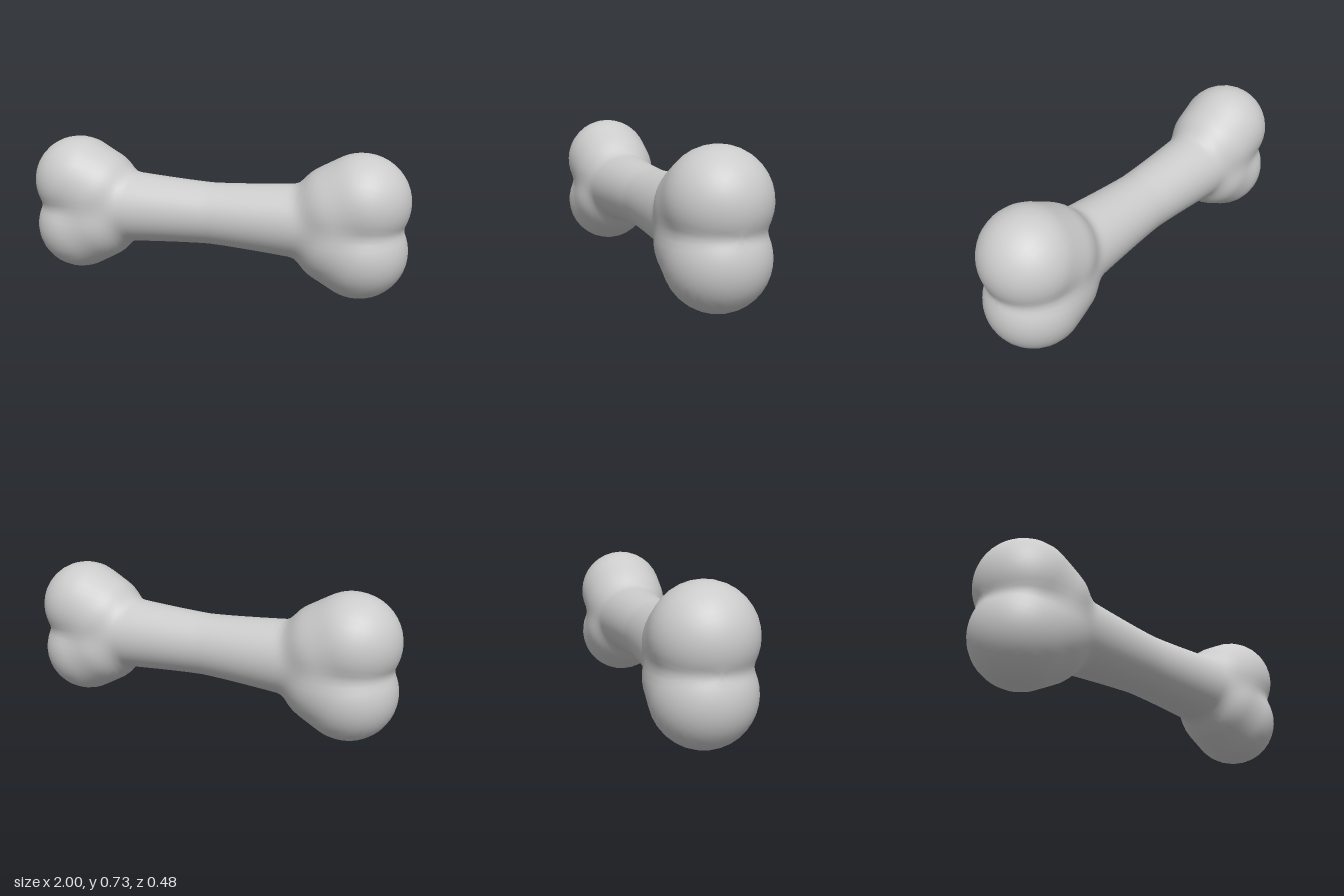
import * as THREE from 'three';

const MID = 0.365; // height of the bone's long axis
const HUB = 0.74; // where the end caps begin on that axis

// Rounded union of two distances
function blend(a, b, k) {
  const h = Math.max(k - Math.abs(a - b), 0) / k;
  return Math.min(a, b) - h * h * k * 0.25;
}

// Knuckle: a capsule leaning from the shaft towards the end
function knuckle(x, y, z) {
  const ax = 0.66, ay = 0.075, dx = 0.1, dy = 0.05;
  const t = THREE.MathUtils.clamp(((x - ax) * dx + (y - ay) * dy) / (dx * dx + dy * dy), 0, 1);
  return Math.hypot(x - ax - dx * t, y - ay - dy * t, z) - (0.235 + 0.005 * t);
}

// Distance to the whole bone, mirrored in x and y
function bone(x, y, z) {
  x = Math.abs(x);
  const knuckles = blend(knuckle(x, y, z), knuckle(x, -y, z), 0.03);
  const radius = 0.161 + 0.025 * Math.pow(Math.min(x, 0.6) / 0.42, 1.3);
  const shaft = Math.max(Math.hypot(y, z) - radius, x - 0.7);
  return blend(knuckles, shaft, 0.03);
}

// Bisect along a ray from the axis to the surface
function reach(ox, dx, dy, dz) {
  let lo = 0, hi = 0.6;
  for (let i = 0; i < 26; i++) {
    const m = (lo + hi) / 2;
    if (bone(ox + dx * m, dy * m, dz * m) < 0) lo = m;
    else hi = m;
  }
  return lo;
}

export function createModel() {
  const group = new THREE.Group();
  const AROUND = 48, CAP = 16, LENGTH = 56;

  // Rings from the left cap, along the shaft, to the right cap: axis position and tilt
  const rings = [];
  for (let i = 1; i < CAP; i++) rings.push([-HUB, -Math.PI / 2 * (1 - i / CAP)]);
  for (let i = 0; i <= LENGTH; i++) rings.push([-HUB + 2 * HUB * i / LENGTH, 0]);
  for (let i = 1; i < CAP; i++) rings.push([HUB, Math.PI / 2 * i / CAP]);

  const positions = [], index = [];
  const addPoint = (ox, tilt, angle) => {
    const dx = Math.sin(tilt), c = Math.cos(tilt);
    const dy = c * Math.cos(angle), dz = c * Math.sin(angle);
    const r = reach(ox, dx, dy, dz);
    positions.push(ox + dx * r, MID + dy * r, dz * r);
  };
  for (const [ox, tilt] of rings) {
    for (let j = 0; j < AROUND; j++) addPoint(ox, tilt, j / AROUND * Math.PI * 2);
  }
  const startPole = rings.length * AROUND, endPole = startPole + 1;
  addPoint(-HUB, -Math.PI / 2, 0);
  addPoint(HUB, Math.PI / 2, 0);

  // Join neighbouring rings and close both ends
  const last = (rings.length - 1) * AROUND;
  for (let j = 0; j < AROUND; j++) {
    const k = (j + 1) % AROUND;
    for (let i = 0; i < rings.length - 1; i++) {
      const a = i * AROUND + j, b = i * AROUND + k;
      index.push(a, b, a + AROUND, b, b + AROUND, a + AROUND);
    }
    index.push(startPole, k, j, endPole, last + j, last + k);
  }

  const geometry = new THREE.BufferGeometry();
  geometry.setAttribute('position', new THREE.Float32BufferAttribute(positions, 3));
  // Winding: turn every face outwards
  for (let i = 0; i < index.length; i += 3) {
    const [a, b, c] = [0, 1, 2].map((n) => new THREE.Vector3().fromArray(positions, index[i + n] * 3));
    const normal = b.clone().sub(a).cross(c.clone().sub(a));
    const centre = a.clone().add(b).add(c).divideScalar(3);
    const axis = new THREE.Vector3(THREE.MathUtils.clamp(centre.x, -HUB, HUB), MID, 0);
    if (normal.dot(centre.sub(axis)) < 0) [index[i + 1], index[i + 2]] = [index[i + 2], index[i + 1]];
  }
  geometry.setIndex(index);
  geometry.computeVertexNormals();

  const mesh = new THREE.Mesh(geometry, new THREE.MeshStandardMaterial({ color: 0xcccccc }));
  mesh.name = 'bone';
  group.add(mesh);
  return group;
}
